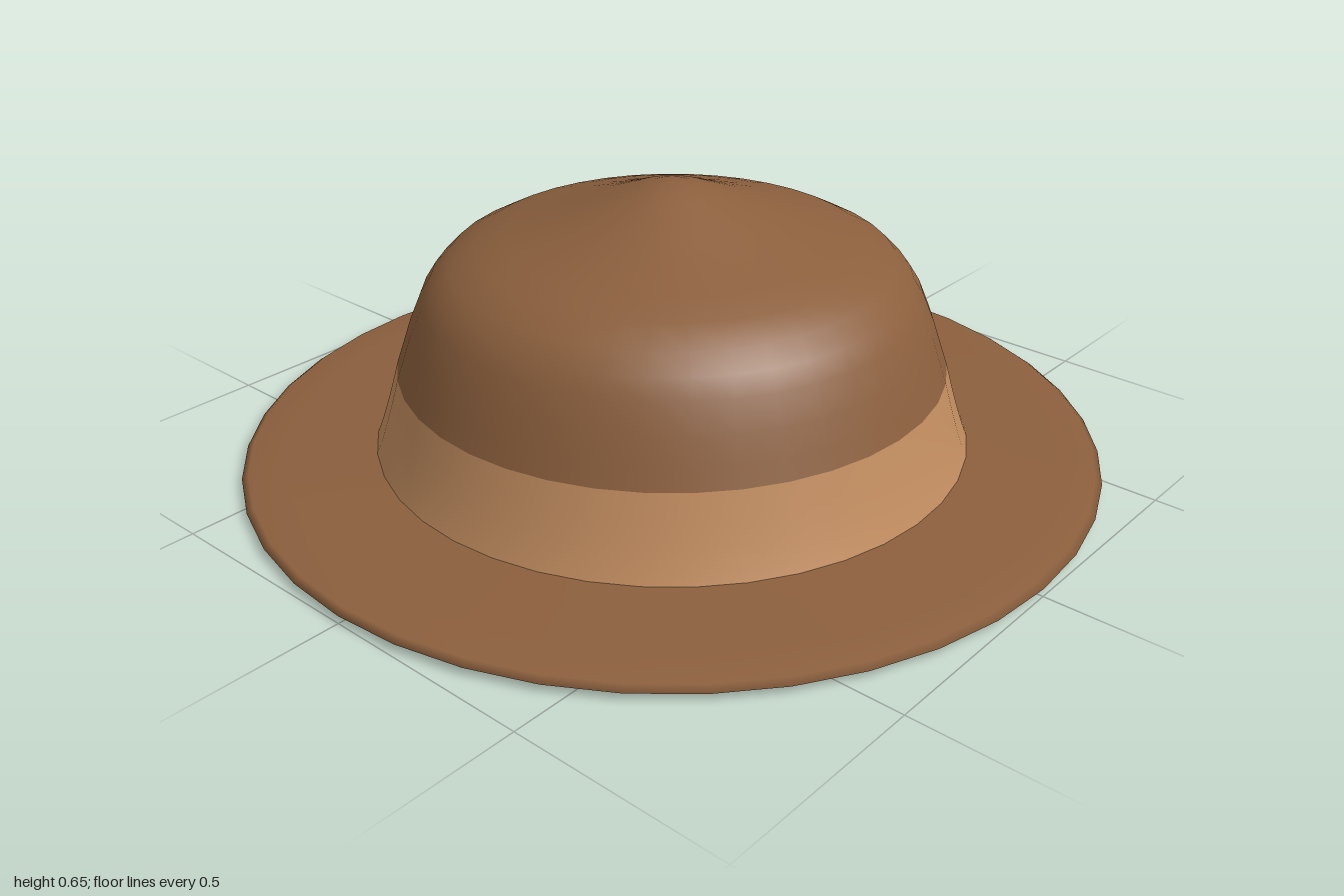
import * as THREE from 'three';

const SEGMENTS = 40;

// Turns a list of [radius, height] pairs, listed from bottom to top, into a smooth ring
function turned(name, profile, material) {
  const points = profile.map(([r, y]) => new THREE.Vector2(r, y));
  const mesh = new THREE.Mesh(new THREE.LatheGeometry(points, SEGMENTS), material);
  mesh.name = name;
  return mesh;
}

export function createModel() {
  const felt = new THREE.MeshStandardMaterial({ color: 0x8b5f3d });
  felt.name = 'brown felt';
  const ribbon = new THREE.MeshStandardMaterial({ color: 0xc18c5f });
  ribbon.name = 'tan ribbon';

  const hat = new THREE.Group();
  hat.name = 'hat';

  // Thin brim with a closed underside and a soft edge
  hat.add(turned('brim', [
    [0, 0], [0.6, 0.001], [0.9, 0.004], [0.985, 0.008], [1, 0.018],
    [0.985, 0.029], [0.9, 0.034], [0.78, 0.04], [0.68, 0.046],
  ], felt));

  // Band around the foot of the crown
  hat.add(turned('band', [
    [0.695, 0.042], [0.682, 0.075], [0.667, 0.12], [0.652, 0.17], [0.636, 0.228],
  ], ribbon));

  // Rounded crown rising to a shallow peak
  hat.add(turned('crown', [
    [0.636, 0.228], [0.62, 0.275], [0.6, 0.335], [0.573, 0.4], [0.548, 0.44],
    [0.51, 0.48], [0.45, 0.512], [0.38, 0.535], [0.3, 0.559], [0.2, 0.594],
    [0.1, 0.633], [0.05, 0.648], [0.02, 0.652], [0, 0.653],
  ], felt));

  return hat;
}
